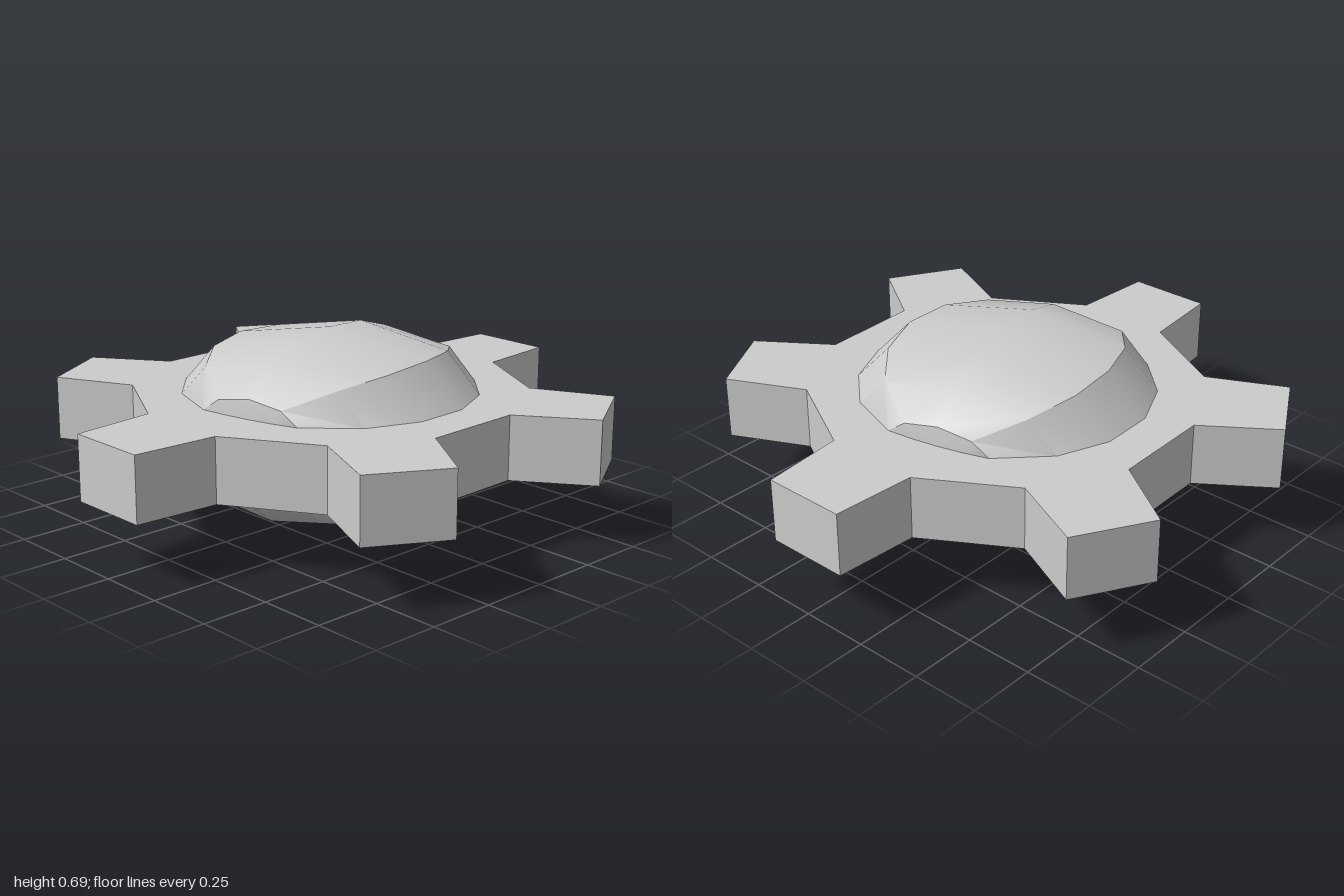
import * as THREE from 'three';
import { toCreasedNormals } from 'three/addons/utils/BufferGeometryUtils.js';

const material = new THREE.MeshStandardMaterial({ color: 0xcccccc });

// Six-toothed plate: one tooth profile repeated around the centre
function gearGeometry() {
  const tooth = [[-0.19, 0.69], [-0.17, 1], [0.14, 1], [0.17, 0.69]];
  const points = [];
  for (let i = 0; i < 6; i++) {
    for (const [x, y] of tooth) {
      points.push(new THREE.Vector2(x, y).rotateAround(new THREE.Vector2(), -i * Math.PI / 3));
    }
  }
  const geometry = new THREE.ExtrudeGeometry(new THREE.Shape(points), { depth: 0.235, bevelEnabled: false });
  return geometry.rotateX(-Math.PI / 2).translate(0, 0.235, 0);
}

// Faceted, flattened core lofted from cross-sections along its long axis
function coreGeometry() {
  // distance, ridge height, shoulder width, shoulder height, waist width
  const half = [
    [0, 0.345, 0.4, 0.275, 0.545],
    [0.2, 0.33, 0.37, 0.265, 0.505],
    [0.37, 0.28, 0.28, 0.235, 0.39],
    [0.49, 0.19, 0.13, 0.17, 0.2],
    [0.525, 0, 0, 0, 0],
  ];
  const stations = [
    ...half.slice(1).reverse().map(([z, ...rest]) => [-z, ...rest]),
    ...half,
  ];
  const positions = [], index = [], n = 10, last = stations.length - 1;
  for (const [z, h, w, s, waist] of stations) {
    const m = Math.min(0.12, s);
    const section = [
      [waist, -m], [waist, m], [w, s], [0, h], [-w, s],
      [-waist, m], [-waist, -m], [-w, -s], [0, -h], [w, -s],
    ];
    for (const [x, y] of section) positions.push(x, y, z);
  }
  for (let i = 0; i < last; i++) {
    for (let j = 0; j < n; j++) {
      const a = i * n + j, b = i * n + (j + 1) % n;
      if (i > 0) index.push(a, b, b + n);
      if (i < last - 1) index.push(a, b + n, a + n);
      // close the two pointed ends with single triangles
      if (i === 0) index[index.length - 3] = a;
      if (i === last - 1) index[index.length - 1] = b + n;
    }
  }
  const geometry = new THREE.BufferGeometry();
  geometry.setAttribute('position', new THREE.Float32BufferAttribute(positions, 3));
  geometry.setIndex(index);
  geometry.rotateY(0.23).translate(0, 0.347, 0);
  return toCreasedNormals(geometry, 0.5);
}

export function createModel() {
  const group = new THREE.Group();
  const gear = new THREE.Mesh(gearGeometry(), material);
  gear.name = 'toothedPlate';
  const core = new THREE.Mesh(coreGeometry(), material);
  core.name = 'domedCore';
  group.add(gear, core);
  return group;
}
